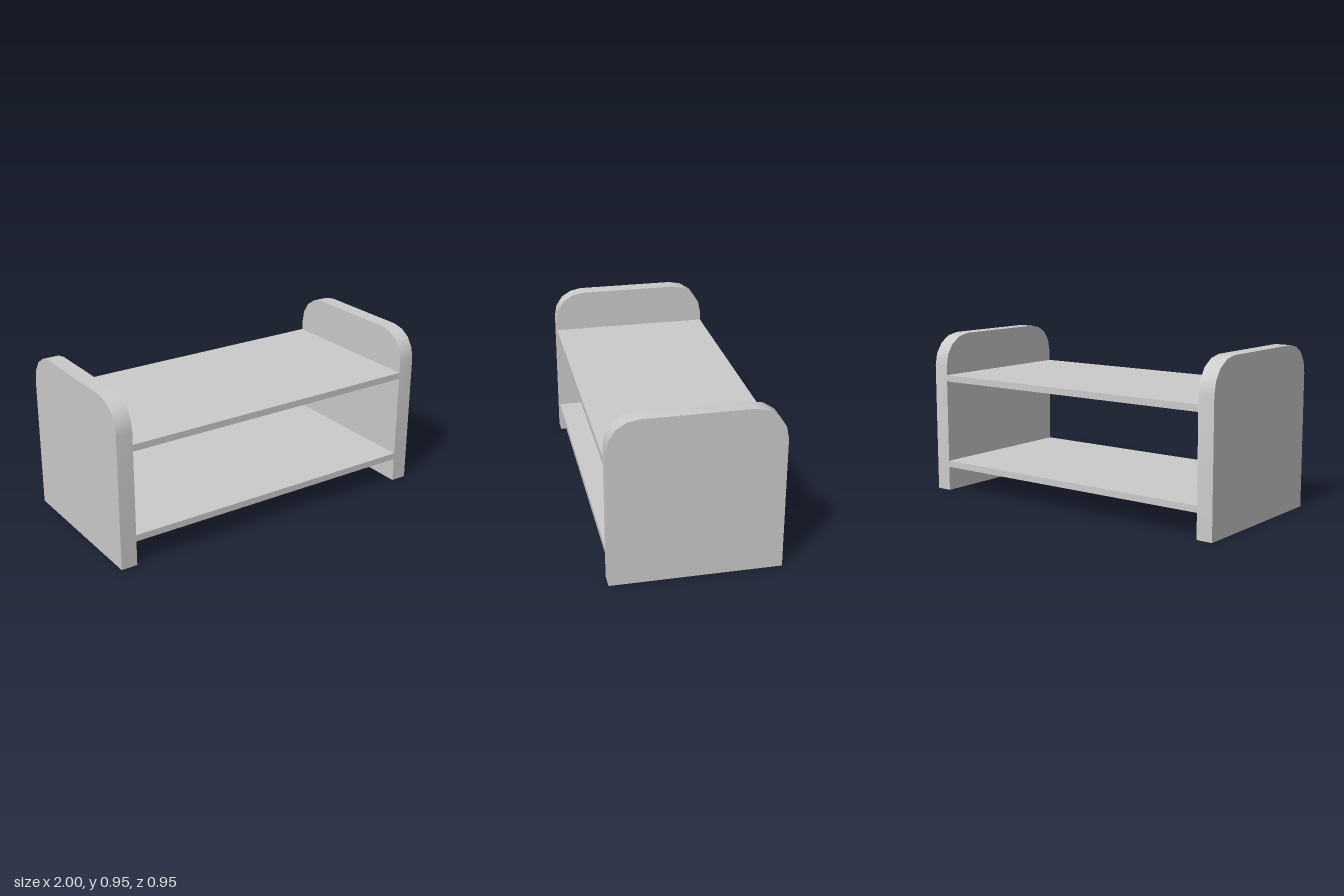
import * as THREE from 'three';
import { toCreasedNormals } from 'three/addons/utils/BufferGeometryUtils.js';

const material = new THREE.MeshStandardMaterial({ color: 0xcccccc });
const HALF_DEPTH = 0.475;
const PANEL = 0.095; // thickness of the end panels
const INNER = 1 - PANEL;

// End panel: outline in (z, y) with faceted round top corners, smooth-shaded rim
function endPanelGeometry() {
  const outline = [
    [-HALF_DEPTH, 0], [HALF_DEPTH, 0],
    [HALF_DEPTH, 0.78], [0.463, 0.847], [0.425, 0.905], [0.37, 0.94], [0.303, 0.954],
    [-0.287, 0.954], [-0.358, 0.94], [-0.42, 0.9], [-0.461, 0.837], [-HALF_DEPTH, 0.765],
  ].map(([z, y]) => new THREE.Vector2(z, y));
  const geometry = new THREE.ExtrudeGeometry(new THREE.Shape(outline), { depth: PANEL, bevelEnabled: false });
  geometry.translate(0, 0, -PANEL / 2).rotateY(-Math.PI / 2);
  return toCreasedNormals(geometry, 0.6);
}

export function createModel() {
  const group = new THREE.Group();
  group.name = 'shelfUnit';

  // Two upright ends
  const panel = endPanelGeometry();
  for (const [name, side] of [['leftEndPanel', 1], ['rightEndPanel', -1]]) {
    const mesh = new THREE.Mesh(panel, material);
    mesh.name = name;
    mesh.position.x = side * (1 - PANEL / 2);
    group.add(mesh);
  }

  // Two boards spanning between the ends
  const board = new THREE.BoxGeometry(2 * INNER, 0.038, 2 * HALF_DEPTH);
  for (const [name, y] of [['lowerShelf', 0.164], ['upperShelf', 0.693]]) {
    const mesh = new THREE.Mesh(board, material);
    mesh.name = name;
    mesh.position.y = y;
    group.add(mesh);
  }
  return group;
}
